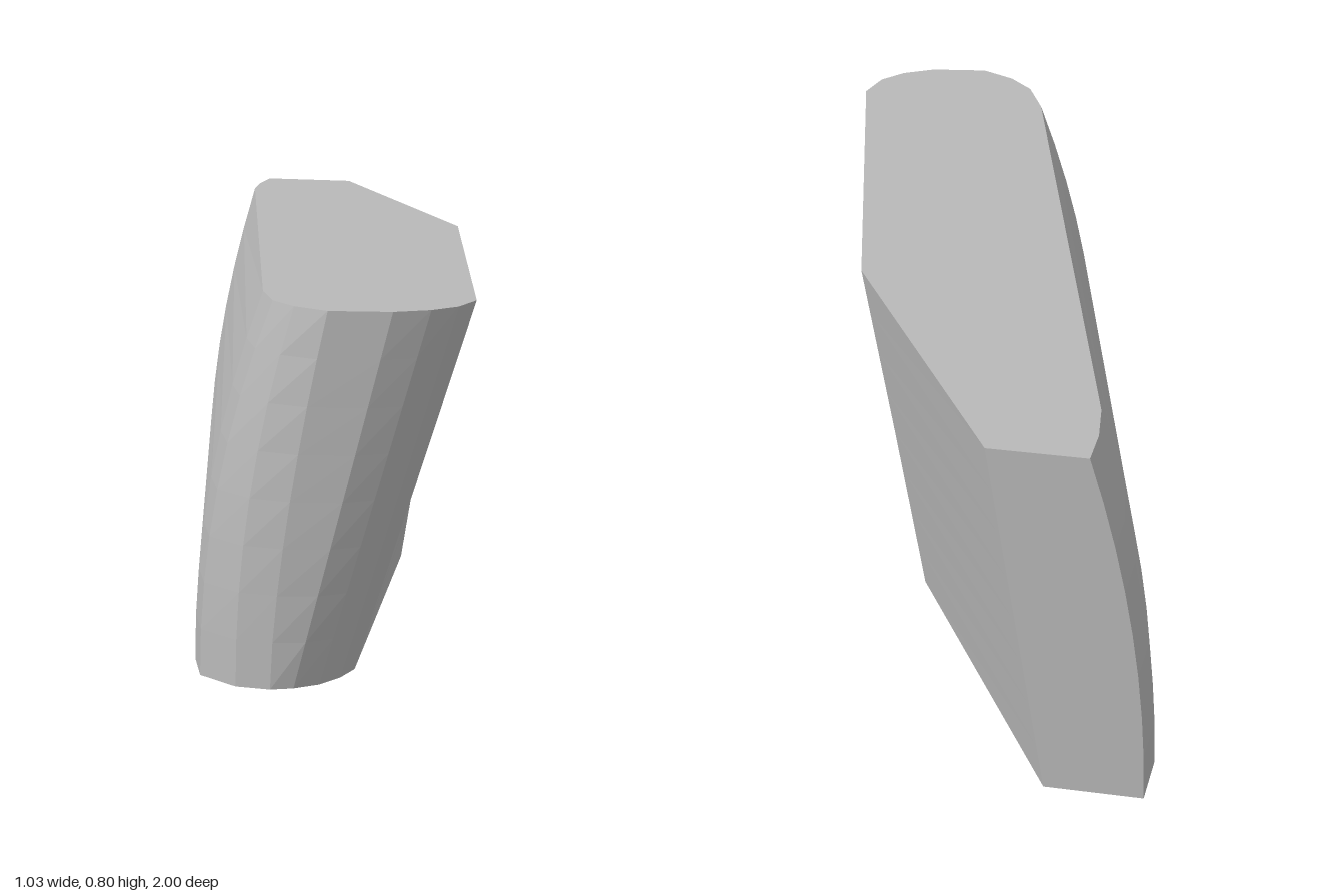
import * as THREE from 'three';

const HEIGHT = 0.8;
const LEVELS = 8;

// Outline points: bottom x, bottom z, top x, top z, bend (1 = straight edge, 2 = bowed edge)
const OUTLINE = [
  // bowed side, back to front
  [-0.52, -1, -0.395, -1, 2],
  [-0.52, -0.86, -0.395, -0.9, 2],
  [-0.49, -0.72, -0.38, -0.79, 2],
  [-0.09, 0.8, 0.06, 0.79, 2],
  // rounded nose
  [-0.045, 0.92, 0.11, 0.9, 2],
  [0.05, 0.985, 0.17, 0.96, 2],
  [0.125, 0.99, 0.25, 1, 1.5],
  [0.17, 0.97, 0.38, 0.98, 1],
  [0.215, 0.93, 0.45, 0.94, 1],
  [0.245, 0.87, 0.495, 0.885, 1],
  [0.26, 0.8, 0.515, 0.8, 1],
  // straight side with a kink, front to back
  [0.145, -0.18, 0.266, -0.24, 1],
  [0.13, -0.23, 0.26, -0.25, 1],
  [-0.305, -1, -0.18, -1, 1],
];

// Horizontal cross-section at t = 0 (bottom) to 1 (top)
function section(t) {
  return OUTLINE.map(([x0, z0, x1, z1, bend]) => {
    const s = Math.pow(t, bend);
    return [x0 + (x1 - x0) * s, t * HEIGHT, z0 + (z1 - z0) * s];
  });
}

function loft() {
  const rings = [];
  for (let j = 0; j <= LEVELS; j++) rings.push(section(j / LEVELS));
  const n = OUTLINE.length;
  const pos = [];
  const tri = (a, b, c) => pos.push(...a, ...b, ...c);

  // walls
  for (let j = 0; j < LEVELS; j++) {
    for (let i = 0; i < n; i++) {
      const k = (i + 1) % n;
      const a = rings[j][i], b = rings[j][k], c = rings[j + 1][k], d = rings[j + 1][i];
      tri(a, b, c);
      tri(a, c, d);
    }
  }
  // flat bottom and top
  const bottom = rings[0], top = rings[LEVELS];
  for (let i = 1; i < n - 1; i++) {
    tri(bottom[0], bottom[i + 1], bottom[i]);
    tri(top[0], top[i], top[i + 1]);
  }

  const geometry = new THREE.BufferGeometry();
  geometry.setAttribute('position', new THREE.Float32BufferAttribute(pos, 3));
  geometry.computeVertexNormals();
  return geometry;
}

export function createModel() {
  const grey = new THREE.MeshStandardMaterial({ color: 0xb8b8b8, flatShading: true });
  grey.name = 'grey';
  const body = new THREE.Mesh(loft(), grey);
  body.name = 'leaningBlock';
  const model = new THREE.Group();
  model.name = 'model';
  model.add(body);
  return model;
}
